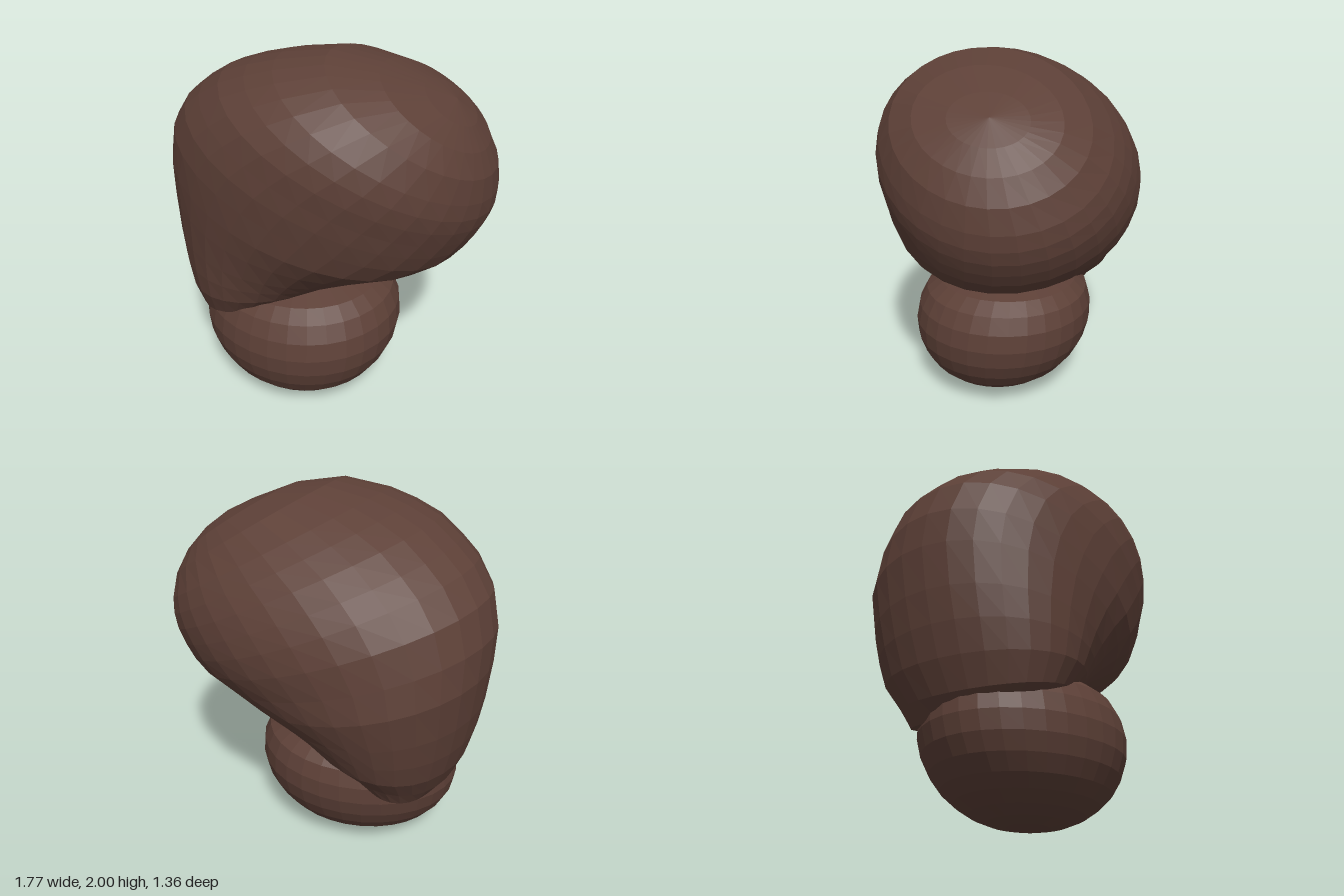
import * as THREE from 'three';

// Skin closed rings given as [outerX, outerY, innerX, innerY, zCentre, zHalf, zSkew, pinch].
// Skew moves the outer side towards +z and the inner side towards -z.
// Pinch narrows the inner side (or the outer side if negative) to an egg-shaped section.
function loft(rings, sides) {
  const pos = [], index = [];
  for (const [ox, oy, ix, iy, zc, zh, skew = 0, pinch = 0] of rings) {
    for (let j = 0; j < sides; j++) {
      const a = (j / sides) * Math.PI * 2, c = Math.cos(a), s = Math.sin(a);
      pos.push(
        (ox + ix) / 2 + ((ox - ix) / 2) * c,
        (oy + iy) / 2 + ((oy - iy) / 2) * c,
        zc + zh * s * (1 + pinch * c) + skew * c
      );
    }
  }
  // The first and last rings are single points, so they need one triangle per side
  for (let i = 0; i < rings.length - 1; i++) {
    for (let j = 0; j < sides; j++) {
      const a = i * sides + j, b = i * sides + ((j + 1) % sides);
      const c = b + sides, d = a + sides;
      if (i > 0) index.push(a, b, d);
      if (i < rings.length - 2) index.push(b, c, d);
    }
  }
  const geo = new THREE.BufferGeometry();
  geo.setAttribute('position', new THREE.Float32BufferAttribute(pos, 3));
  geo.setIndex(index);
  geo.computeVertexNormals();
  return geo;
}

export function createModel() {
  const group = new THREE.Group();
  group.name = 'bentBean';
  const brown = new THREE.MeshStandardMaterial({ color: 0x5d4037, flatShading: true });
  const add = (name, geo) => {
    const mesh = new THREE.Mesh(geo, brown);
    mesh.name = name;
    group.add(mesh);
  };

  // Upper lobe: rings fan out from the narrow foot, over to the blunt left end
  add('upperLobe', loft([
    [-0.42, 0.38, -0.42, 0.38, 0.0, 0],
    [-0.66, 0.42, -0.2, 0.54, 0.0, 0.34, 0, 0.1],
    [-0.73, 0.51, -0.02, 0.66, 0.03, 0.43, 0, 0.14],
    [-0.79, 0.66, 0.14, 0.735, 0.01, 0.505, -0.01, 0.16],
    [-0.83, 0.82, 0.23, 0.77, 0.0, 0.54, -0.02, 0.14],
    [-0.86, 0.99, 0.32, 0.80, -0.01, 0.575, -0.03, 0.1],
    [-0.885, 1.22, 0.46, 0.85, -0.02, 0.625, -0.04, 0.05],
    [-0.885, 1.4, 0.6, 0.905, -0.01, 0.65, -0.03],
    [-0.835, 1.58, 0.72, 0.97, -0.01, 0.67, 0.0],
    [-0.735, 1.71, 0.78, 1.04, 0.0, 0.675, 0.03],
    [-0.63, 1.79, 0.825, 1.11, 0.01, 0.665, 0.05],
    [-0.5, 1.87, 0.86, 1.18, 0.025, 0.65, 0.07],
    [-0.35, 1.925, 0.88, 1.25, 0.035, 0.62, 0.08],
    [-0.2, 1.965, 0.885, 1.33, 0.04, 0.575, 0.085],
    [0.05, 2.0, 0.87, 1.45, 0.04, 0.48, 0.07],
    [0.3, 1.955, 0.82, 1.57, 0.03, 0.35, 0.05],
    [0.5, 1.87, 0.75, 1.68, 0.01, 0.19, 0.02],
    [0.65, 1.79, 0.65, 1.79, 0.0, 0],
  ], 32));

  // Lower lobe: squashed ball, fuller at the top and narrower on the right side
  const profile = [
    [0, 0], [0.2, 0.004], [0.38, 0.025], [0.54, 0.06], [0.68, 0.11], [0.8, 0.17],
    [0.9, 0.25], [0.97, 0.34], [1, 0.44], [0.98, 0.54], [0.91, 0.63],
    [0.78, 0.69], [0.55, 0.73], [0.28, 0.745], [0, 0.75],
  ];
  const tilt = (x, y) => y * (1 + 0.07 * (x - 0.05));
  add('lowerLobe', loft(profile.map(([r, y]) => {
    const o = -0.145 - 0.575 * r, i = -0.145 + 0.58 * r;
    return [o, tilt(o, y), i, tilt(i, y), 0.12 - 0.1 * y, 0.51 * r, 0, -0.08 * r];
  }), 32));

  return group;
}
